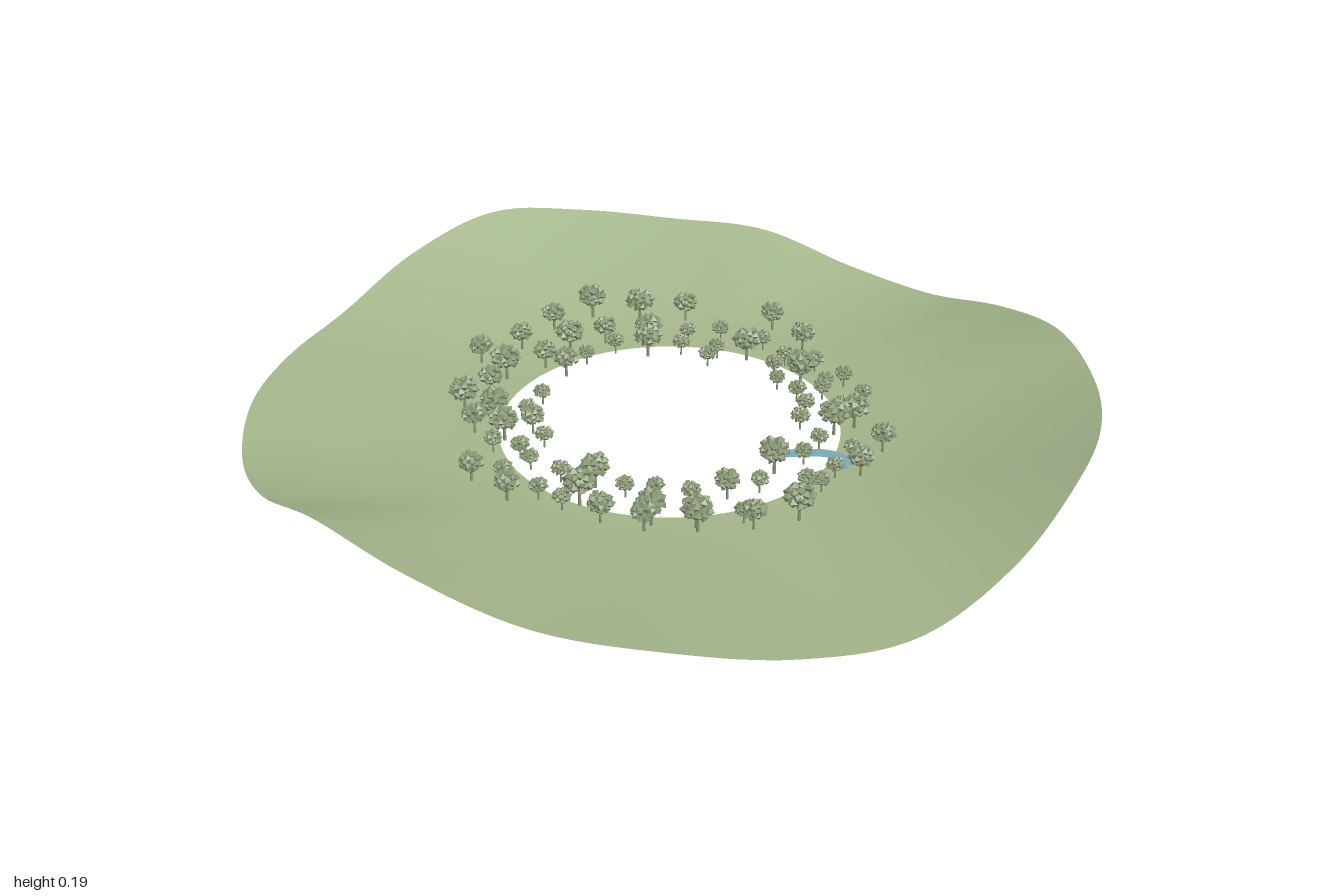
import * as THREE from 'three';
import { mergeGeometries, mergeVertices } from 'three/addons/utils/BufferGeometryUtils.js';

const INNER = 0.41;
const BASE = 0.005;

// Height of the outer rim every 15 degrees, from +x towards +z
const RIM = [
  0.157, 0.085, 0.024, 0.045, 0.085, 0.112, 0.165, 0.19, 0.115, 0.065, 0.063, 0.052,
  0.058, 0.135, 0.19, 0.155, 0.115, 0.097, 0.03, 0.02, 0.083, 0.138, 0.145, 0.157,
];

// Tree positions as x, z pairs
const LARGE_TREES = [
  -0.45, -0.36, -0.26, -0.33, -0.23, -0.28, -0.41, -0.19, -0.46, 0.2, -0.37, 0.2, -0.3, 0.26,
  0.01, 0.41, 0, 0.33, 0.19, 0.4, 0.29, 0.37, 0.32, 0.07, 0.46, 0.22, 0.39, -0.21,
  0.36, -0.16, 0.18, -0.34, 0, -0.39, -0.34, -0.42, -0.47, 0.01,
];
const MEDIUM_TREES = [
  -0.02, -0.57, -0.24, -0.49, 0.1, -0.51, -0.36, -0.28, -0.5, -0.25, -0.52, -0.13, -0.57, -0.02,
  -0.46, 0.09, -0.38, 0.27, -0.26, 0.2, -0.25, 0.46, -0.13, 0.49, 0.09, 0.45, 0.28, 0.22,
  0.5, -0.01, 0.5, -0.13, -0.35, -0.08, -0.42, -0.09, 0.28, 0.36, 0.39, 0.3, 0.19, 0.43,
];
const SMALL_TREES = [
  -0.11, -0.45, 0.01, -0.46, -0.18, -0.4, -0.16, -0.33, -0.07, -0.36, -0.07, -0.31, -0.31, -0.25,
  -0.34, -0.16, -0.32, 0.07, -0.31, 0.15, -0.2, 0.24, -0.29, 0.32, -0.22, 0.31, -0.17, 0.34,
  -0.08, 0.35, -0.19, 0.42, -0.08, 0.44, 0.08, 0.33, 0.14, 0.3, 0.22, 0.28, 0.33, 0.16,
  0.36, 0.29, 0.42, 0.1, 0.45, 0.02, 0.36, 0, 0.45, -0.07, 0.36, -0.32, 0.28, -0.38,
  0.18, -0.42, 0.25, -0.34, 0.26, -0.3, 0.21, -0.26, 0.14, -0.29, 0.1, -0.35, 0.1, -0.41,
  0.26, -0.21, 0.28, -0.14, 0.36, -0.08, 0.34, -0.25, 0.45, 0.09, -0.01, 0.45,
];

function seeded(seed) {
  return () => {
    seed = (seed * 16807) % 2147483647;
    return seed / 2147483647;
  };
}

// Smooth periodic interpolation of the rim heights
function rimHeight(angle) {
  const n = RIM.length;
  const s = ((angle / (2 * Math.PI)) * n + n) % n;
  const i = Math.floor(s), f = s - i;
  const [a, b, c, d] = [-1, 0, 1, 2].map((k) => RIM[(i + k + n) % n]);
  return b + 0.5 * f * (c - a + f * (2 * a - 5 * b + 4 * c - d + f * (3 * (b - c) + d - a)));
}

function groundHeight(x, z) {
  const t = Math.min(1, Math.max(0, (Math.hypot(x, z) - INNER) / (1 - INNER)));
  return BASE + (rimHeight(Math.atan2(z, x)) - BASE) * Math.pow(t, 1.6);
}

// Ring of land, flat at the hole and rising to the wavy rim
function terrainGeometry() {
  let g = new THREE.RingGeometry(INNER, 1, 160, 18).rotateX(-Math.PI / 2);
  g.deleteAttribute('uv');
  g.deleteAttribute('normal');
  const p = g.attributes.position;
  for (let i = 0; i < p.count; i++) p.setY(i, groundHeight(p.getX(i), p.getZ(i)));
  g = mergeVertices(g, 1e-5);
  g.computeVertexNormals();
  return g;
}

// Flat ribbon following a curve
function ribbonGeometry(points, width) {
  const curve = new THREE.CatmullRomCurve3(points.map((q) => new THREE.Vector3(...q)));
  const steps = 48, pos = [], index = [];
  for (let i = 0; i <= steps; i++) {
    const c = curve.getPoint(i / steps), t = curve.getTangent(i / steps);
    const side = new THREE.Vector3(-t.z, 0, t.x).normalize().multiplyScalar(width / 2);
    pos.push(c.x - side.x, c.y, c.z - side.z, c.x + side.x, c.y, c.z + side.z);
    if (i < steps) {
      const k = 2 * i;
      index.push(k, k + 1, k + 2, k + 1, k + 3, k + 2);
    }
  }
  const g = new THREE.BufferGeometry();
  g.setAttribute('position', new THREE.Float32BufferAttribute(pos, 3));
  g.setIndex(index);
  g.computeVertexNormals();
  return g;
}

// Bushy crown of small faceted leaf clumps, about one unit in radius
function crownGeometry() {
  const rand = seeded(77), clumps = [], count = 30;
  for (let i = 0; i < count; i++) {
    const y = 1 - (2 * (i + 0.5)) / count, r = Math.sqrt(1 - y * y), a = i * 2.39996;
    const s = 0.7 + 0.16 * rand();
    const clump = new THREE.OctahedronGeometry(0.26 + 0.1 * rand());
    clump.rotateX(rand() * 3).rotateY(rand() * 3);
    clump.translate(Math.cos(a) * r * s, y * s * 0.75, Math.sin(a) * r * s);
    clumps.push(clump);
  }
  clumps.push(new THREE.IcosahedronGeometry(0.68).scale(1, 0.75, 1));
  return mergeGeometries(clumps);
}

// Tapered trunk with three branches reaching into the crown
function trunkGeometry() {
  const parts = [new THREE.CylinderGeometry(0.07, 0.12, 1.6, 6).translate(0, 0.8, 0)];
  for (let i = 0; i < 3; i++) {
    const branch = new THREE.CylinderGeometry(0.04, 0.06, 0.8, 5).translate(0, 0.4, 0);
    parts.push(branch.rotateZ(0.75).translate(0, 0.85, 0).rotateY(i * 2.1));
  }
  return mergeGeometries(parts);
}

export function createModel() {
  const model = new THREE.Group();
  model.name = 'ringIsland';
  const grass = new THREE.MeshStandardMaterial({ color: 0xa4b68c, side: THREE.DoubleSide });
  grass.name = 'grass';
  const water = new THREE.MeshStandardMaterial({ color: 0x7ba9b8, side: THREE.DoubleSide });
  water.name = 'water';
  const treeGreen = new THREE.MeshStandardMaterial({ color: 0x8b9b78 });
  treeGreen.name = 'treeGreen';

  const add = (parent, name, geometry, material) => {
    const mesh = new THREE.Mesh(geometry, material);
    mesh.name = name;
    parent.add(mesh);
    return mesh;
  };

  add(model, 'terrain', terrainGeometry(), grass);

  // Stream running out of the hole and under the land
  add(model, 'stream', ribbonGeometry([
    [0.285, 0.009, 0], [0.34, 0.009, -0.04], [0.39, 0.009, -0.065], [0.44, 0.0085, -0.06],
    [0.53, 0.007, 0.03], [0.66, 0.009, 0.09], [0.8, 0.012, 0.05], [0.9, 0.015, -0.04],
  ], 0.035), water);

  // Trees around the hole, rooted on the ground
  const crown = crownGeometry(), trunk = trunkGeometry(), rand = seeded(5);
  const grove = new THREE.Group();
  grove.name = 'trees';
  model.add(grove);
  const plant = (list, size) => {
    for (let i = 0; i < list.length; i += 2) {
      const x = list[i], z = list[i + 1];
      const tree = new THREE.Group();
      tree.name = 'tree';
      add(tree, 'trunk', trunk, treeGreen);
      add(tree, 'crown', crown, treeGreen).position.y = 1.75;
      tree.position.set(x, groundHeight(x, z), z);
      tree.rotation.y = rand() * 6.28;
      tree.scale.setScalar(size * (0.95 + 0.1 * rand()));
      grove.add(tree);
    }
  };
  plant(LARGE_TREES, 0.036);
  plant(MEDIUM_TREES, 0.03);
  plant(SMALL_TREES, 0.022);
  return model;
}
